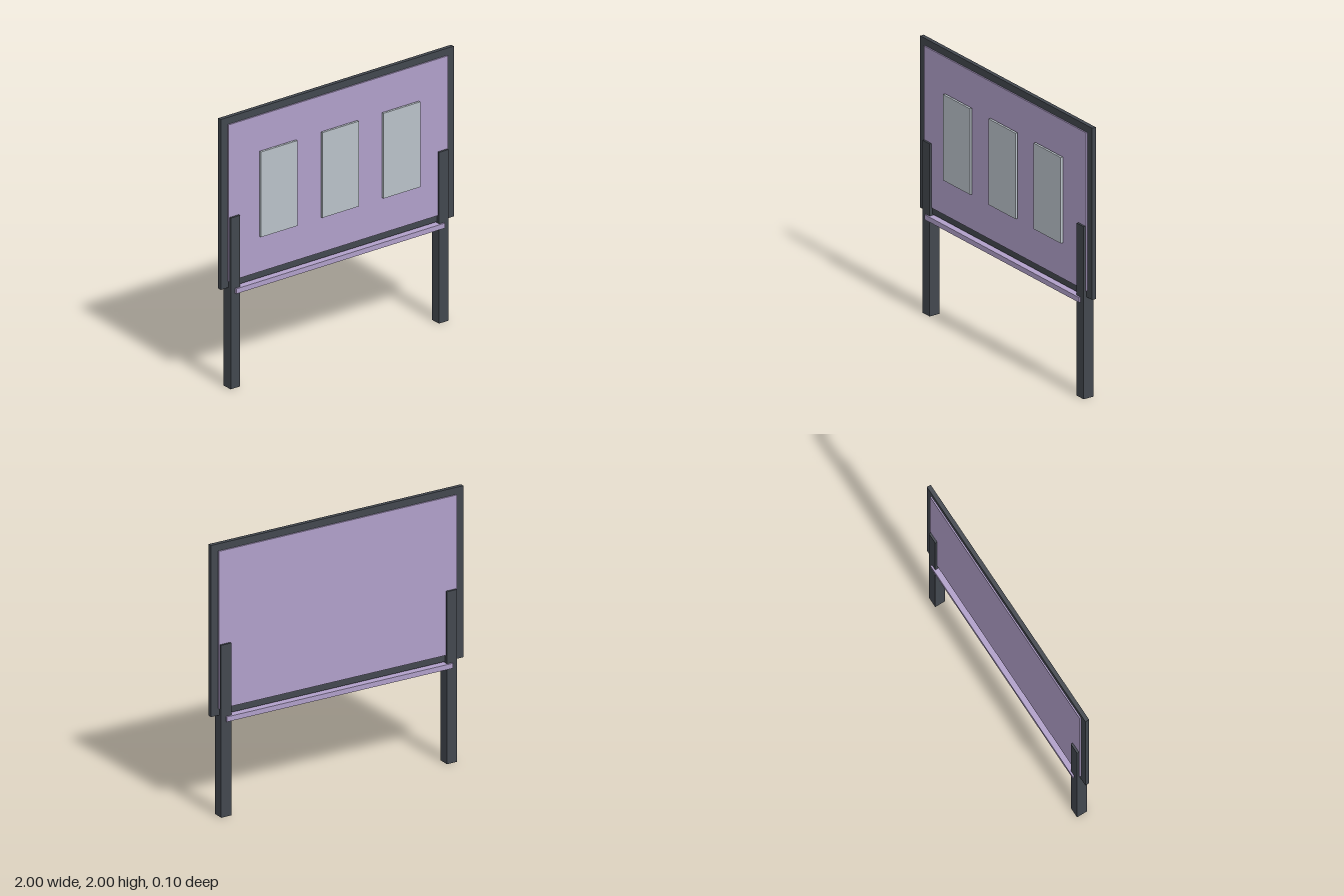
import * as THREE from 'three';

export function createModel() {
  const group = new THREE.Group();
  const mat = (name, color) => {
    const m = new THREE.MeshStandardMaterial({ color });
    m.name = name;
    return m;
  };
  const charcoal = mat('charcoal', 0x42474e);
  const lilac = mat('lilac', 0xb09fc9);
  const paper = mat('paper grey', 0xb9c1c8);

  // Box given by its lower and upper bounds on each axis
  const box = (name, material, [x0, x1], [y0, y1], [z0, z1]) => {
    const mesh = new THREE.Mesh(new THREE.BoxGeometry(x1 - x0, y1 - y0, z1 - z0), material);
    mesh.position.set((x0 + x1) / 2, (y0 + y1) / 2, (z0 + z1) / 2);
    mesh.name = name;
    group.add(mesh);
  };

  // Rectangular frame with an opening for the panel
  const outline = new THREE.Shape([[-1, 0.743], [1, 0.743], [1, 2], [-1, 2]].map(p => new THREE.Vector2(...p)));
  outline.holes.push(new THREE.Path(
    [[-0.943, 0.792], [-0.943, 1.948], [0.943, 1.948], [0.943, 0.792]].map(p => new THREE.Vector2(...p))));
  const frame = new THREE.Mesh(
    new THREE.ExtrudeGeometry(outline, { depth: 0.03, bevelEnabled: false }).translate(0, 0, -0.015), charcoal);
  frame.name = 'frame';
  group.add(frame);

  // Board panel, standing slightly proud of the frame on both sides
  box('boardPanel', lilac, [-0.943, 0.943], [0.792, 1.948], [-0.025, 0.025]);

  // Posts clasping the board
  box('rightPost', charcoal, [-0.935, -0.855], [0, 1.263], [-0.04, 0.04]);
  box('leftPost', charcoal, [0.855, 0.935], [0, 1.263], [-0.04, 0.04]);

  // Tray rail below the board
  box('trayRail', lilac, [-0.897, 0.897], [0.698, 0.735], [-0.052, 0.052]);

  // Three notices on the front
  for (const x of [-0.527, 0, 0.527]) {
    box('notice', paper, [x - 0.157, x + 0.157], [1.058, 1.687], [0.034, 0.051]);
  }
  return group;
}
